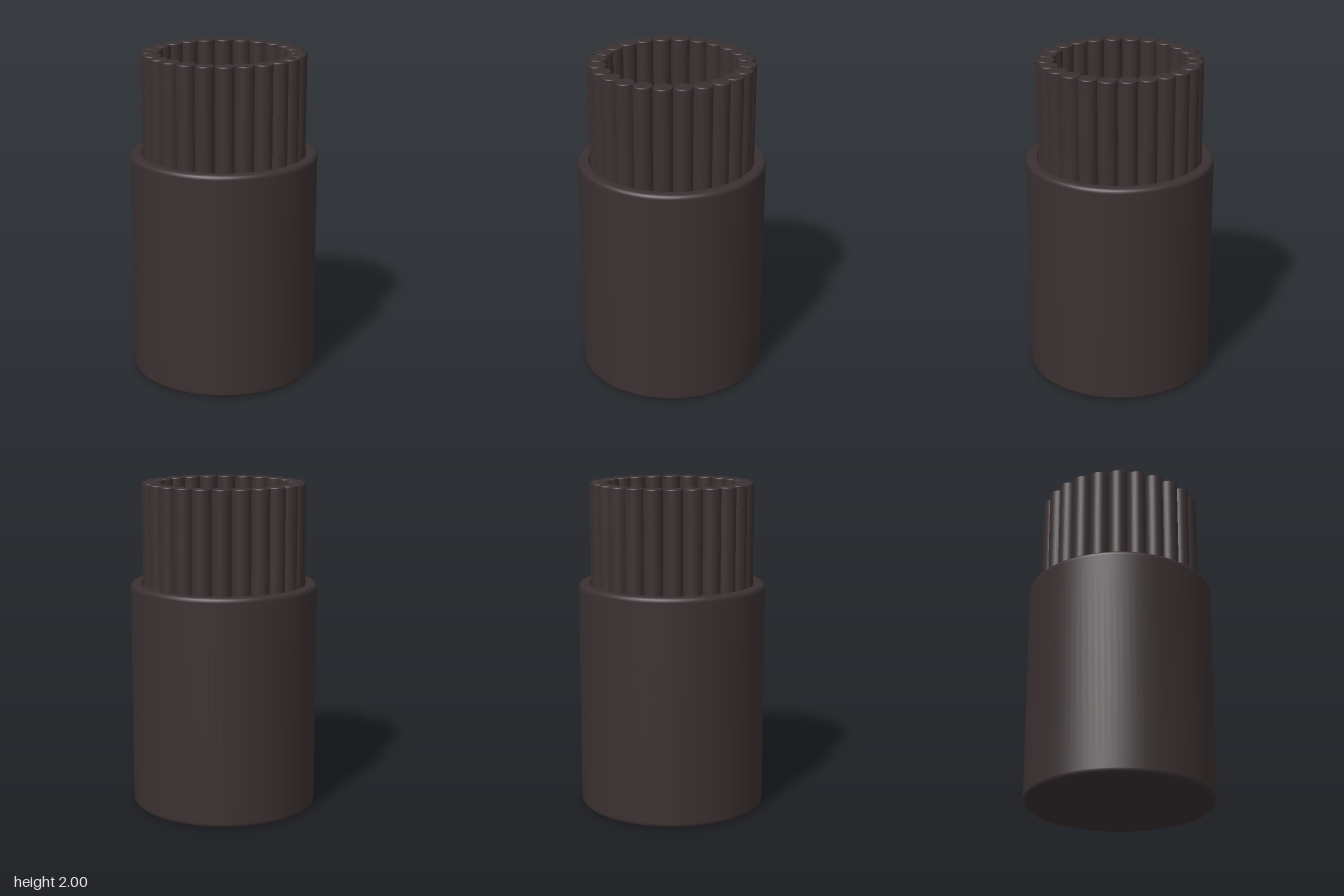
import * as THREE from 'three';

// Closed-profile lathe: corners are [x, y, fillet radius], walked bottom -> outside -> top -> inside
function roundedLathe(corners, radialSegments, steps) {
  const pts = [];
  corners.forEach(([x, y, r], i) => {
    const p = new THREE.Vector2(x, y);
    if (!r) { pts.push(p); return; }
    const toPrev = new THREE.Vector2(...corners[i - 1].slice(0, 2)).sub(p).normalize();
    const toNext = new THREE.Vector2(...corners[i + 1].slice(0, 2)).sub(p).normalize();
    const at = (dir, d) => p.clone().addScaledVector(dir, d);
    const centre = at(toPrev, r).addScaledVector(toNext, r);
    // support points just outside the fillet keep the long faces flat
    pts.push(at(toPrev, r * 1.1));
    for (let k = 0; k <= steps; k++) {
      const a = (k / steps) * Math.PI / 2;
      pts.push(centre.clone()
        .addScaledVector(toNext, -r * Math.cos(a))
        .addScaledVector(toPrev, -r * Math.sin(a)));
    }
    pts.push(at(toNext, r * 1.1));
  });
  return new THREE.LatheGeometry(pts, radialSegments);
}

export function createModel() {
  const model = new THREE.Group();
  const darkBrown = new THREE.MeshStandardMaterial({ color: 0x3a3031 });
  darkBrown.name = 'darkBrown';

  // Hollow cup with softened rim and base edge
  const cup = new THREE.Mesh(roundedLathe([
    [0, 0, 0],
    [0.57, 0, 0.025],
    [0.57, 1.39, 0.025],
    [0.5, 1.39, 0.015],
    [0.5, 0.07, 0.015],
    [0, 0.07, 0],
  ], 96, 5), darkBrown);
  cup.name = 'cup';
  model.add(cup);

  // Ring of upright rods standing inside the cup
  const rods = new THREE.Group();
  rods.name = 'rods';
  const rodGeometry = roundedLathe([
    [0, 0.07, 0],
    [0.057, 0.07, 0.007],
    [0.057, 2, 0.007],
    [0, 2, 0],
  ], 32, 3);
  const count = 24;
  for (let i = 0; i < count; i++) {
    const a = (i / count) * Math.PI * 2;
    const rod = new THREE.Mesh(rodGeometry, darkBrown);
    rod.name = 'rod';
    rod.position.set(0.441 * Math.sin(a), 0, 0.441 * Math.cos(a));
    rods.add(rod);
  }
  model.add(rods);
  return model;
}
